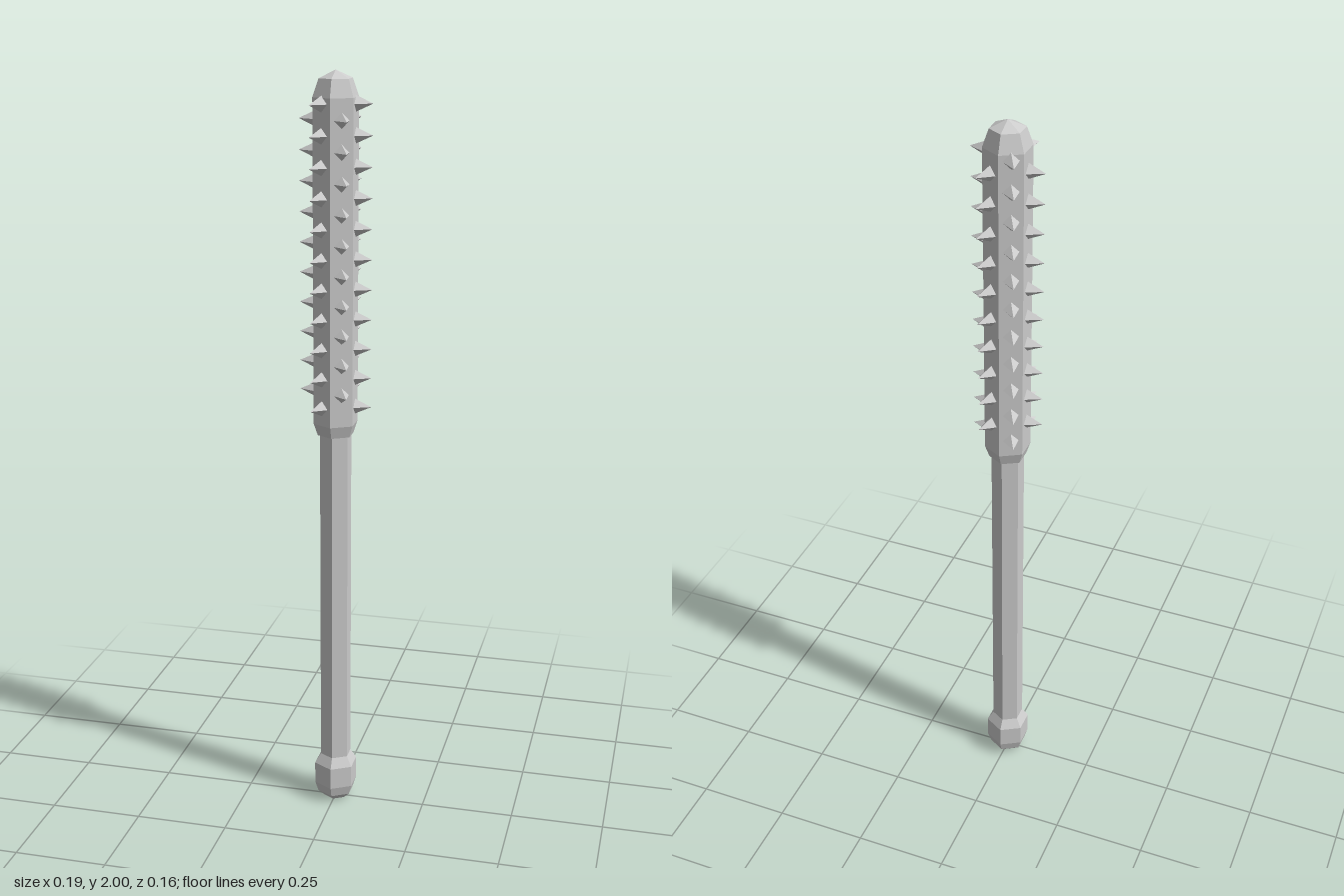
import * as THREE from 'three';

const SIDES = 6;
const HEAD_R = 0.06;
const APOTHEM = HEAD_R * Math.cos(Math.PI / SIDES);

export function createModel() {
  const model = new THREE.Group();
  model.name = 'spikedClub';
  const mat = new THREE.MeshStandardMaterial({ color: 0xcccccc, flatShading: true });

  // six-sided turned part from [radius, height] pairs, listed bottom to top
  const turned = (name, profile) => {
    const points = profile.map(([r, y]) => new THREE.Vector2(r, y));
    const mesh = new THREE.Mesh(new THREE.LatheGeometry(points, SIDES), mat);
    mesh.name = name;
    model.add(mesh);
  };

  turned('pommel', [[0, 0], [0.032, 0.002], [0.051, 0.02], [0.06, 0.048], [0.06, 0.108], [0.043, 0.135], [0, 0.135]]);
  turned('shaft', [[0.043, 0.12], [0.043, 1.09]]);
  turned('head', [[0, 1.068], [0.049, 1.068], [0.06, 1.1], [HEAD_R, 1.935], [0.044, 1.98], [0, 2]]);

  // four-sided spike pointing along +x, its base sunk slightly into the head
  const base = APOTHEM - 0.002;
  const length = 0.095 - base;
  const spikeGeo = new THREE.ConeGeometry(0.021, length, 4);
  spikeGeo.rotateZ(-Math.PI / 2);
  spikeGeo.translate(base + length / 2, 0, 0);

  // one column of spikes per face, neighbouring columns staggered by half a step
  const step = 0.0773;
  for (let face = 0; face < SIDES; face++) {
    const column = new THREE.Group();
    column.name = 'spikeColumn' + (face + 1);
    column.rotation.y = (face * Math.PI * 2) / SIDES;
    const odd = face % 2;
    for (let row = 0; row < 11 - odd; row++) {
      const spike = new THREE.Mesh(spikeGeo, mat);
      spike.name = 'spike';
      spike.position.y = 1.147 + (row + odd / 2) * step;
      column.add(spike);
    }
    model.add(column);
  }
  return model;
}
